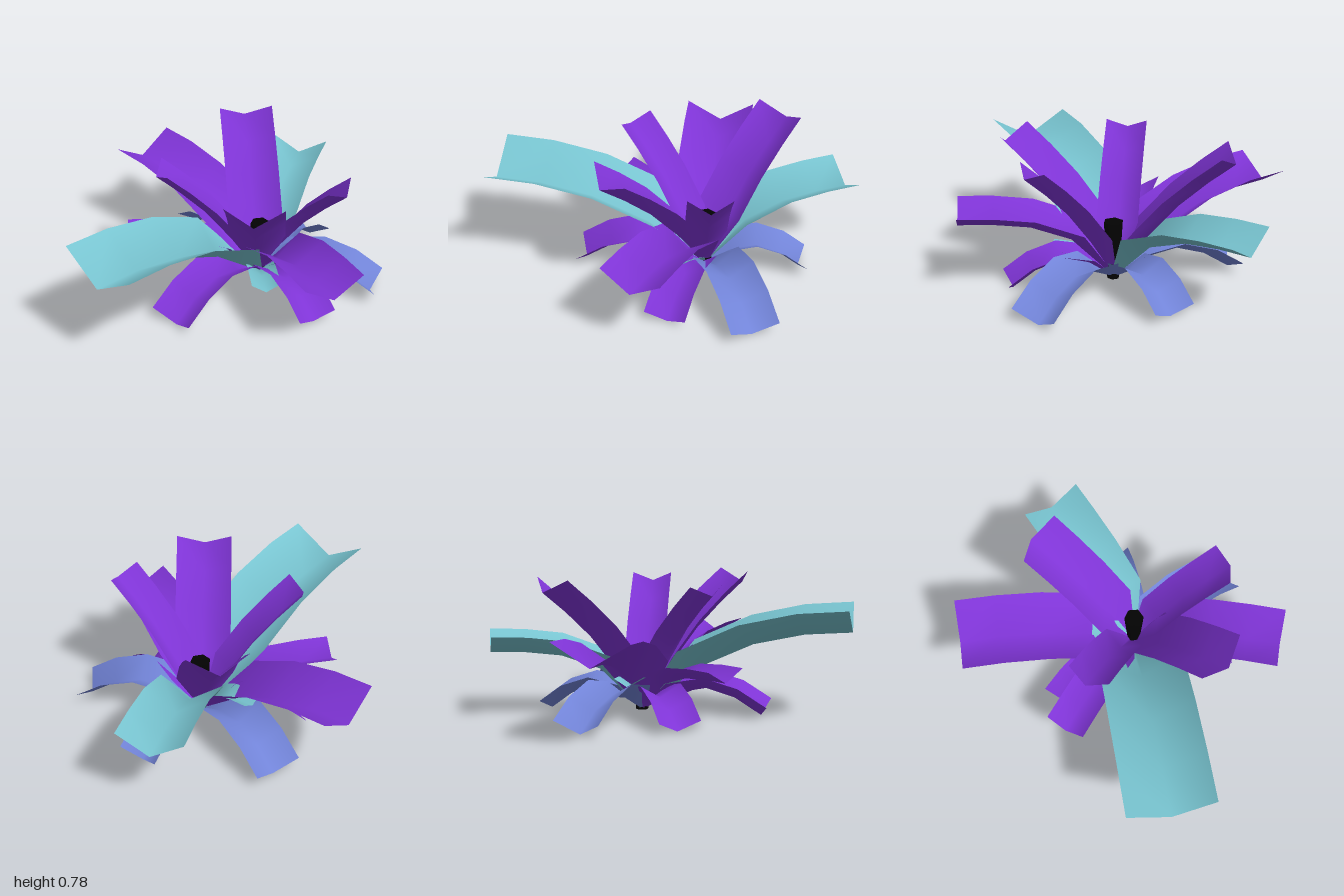
import * as THREE from 'three';

const BASE = { x: 0.125, z: -0.16 };

// Centre-rib paths: [fraction along the leaf, fraction of its height]
const TALL = [[0, 0.01], [0.28, 0.36], [0.54, 0.64], [0.78, 0.84], [1, 1]];
const BROAD = [[0, 0.01], [0.28, 0.54], [0.54, 0.83], [0.78, 0.96], [1, 1]];
const MIDDLE = [[0, 0.01], [0.28, 0.68], [0.54, 0.91], [0.78, 0.98], [1, 1]];
const LOW = [[0, 0.03], [0.28, 0.75], [0.54, 1], [0.78, 0.66], [1, 0]];

// A folded strip running from the base to its tip, V-shaped in section
function leafGeometry(path, tipX, tipZ, height, halfWidth) {
  const length = Math.hypot(tipX - BASE.x, tipZ - BASE.z);
  const dx = (tipX - BASE.x) / length, dz = (tipZ - BASE.z) / length;
  const rib = path.map(([s, h]) => [s * length, h * height]);
  const positions = [], index = [];
  rib.forEach(([s, y], i) => {
    const a = rib[Math.max(i - 1, 0)], b = rib[Math.min(i + 1, rib.length - 1)];
    const run = b[0] - a[0], climb = b[1] - a[1], t = Math.hypot(run, climb);
    const w = i === 0 ? halfWidth * 0.12 : halfWidth;
    for (const side of [-1, 0, 1]) {
      const lift = Math.abs(side) * w * 0.6;
      const along = s - lift * climb / t;
      positions.push(
        BASE.x + dx * along - dz * w * side,
        y + lift * run / t,
        BASE.z + dz * along + dx * w * side);
    }
    if (i === 0) return;
    for (const j of [0, 1]) {
      const p = (i - 1) * 3 + j, q = p + 3;
      index.push(p, p + 1, q, p + 1, q + 1, q);
    }
  });
  const geometry = new THREE.BufferGeometry();
  geometry.setAttribute('position', new THREE.Float32BufferAttribute(positions, 3));
  geometry.setIndex(index);
  geometry.computeVertexNormals();
  return geometry;
}

export function createModel() {
  const material = (name, color) =>
    new THREE.MeshStandardMaterial({ name, color, side: THREE.DoubleSide });
  const purple = material('purple', 0x7f34d6);
  const teal = material('teal', 0x78c4d0);
  const blue = material('blue', 0x7284d8);
  const black = material('black', 0x030303);

  const plant = new THREE.Group();
  plant.name = 'plant';

  // Rings of leaves: [material, tip x, tip z, rib height, half width]
  const rings = {
    tallLeaf: [TALL, [
      [purple, -0.15, -0.73, 0.705, 0.155],
      [purple, 0.295, 0.467, 0.705, 0.155],
      [purple, 0.652, 0.0, 0.69, 0.115],
      [purple, -0.365, 0.125, 0.69, 0.115],
    ]],
    broadLeaf: [BROAD, [
      [teal, -0.36, 0.9, 0.48, 0.235],
      [purple, -0.755, -0.56, 0.405, 0.2],
    ]],
    middleLeaf: [MIDDLE, [
      [teal, 0.125, -1.0, 0.36, 0.175],
      [purple, 0.713, 0.435, 0.35, 0.168],
      [purple, -0.537, 0.155, 0.265, 0.113],
    ]],
    lowLeaf: [LOW, [
      [blue, 0.785, -0.19, 0.14, 0.135],
      [blue, 0.305, -0.655, 0.13, 0.118],
      [blue, -0.385, -0.57, 0.14, 0.135],
      [purple, -0.42, -0.07, 0.13, 0.115],
      [purple, -0.135, 0.462, 0.14, 0.135],
      [purple, 0.555, 0.195, 0.13, 0.115],
    ]],
    innerLeaf: [MIDDLE, [
      [teal, -0.2, -0.3, 0.2, 0.07],
      [teal, 0.28, 0.17, 0.11, 0.08],
    ]],
  };
  for (const [name, [path, leaves]] of Object.entries(rings)) {
    leaves.forEach(([mat, ...shape], i) => {
      const leaf = new THREE.Mesh(leafGeometry(path, ...shape), mat);
      leaf.name = name + (i + 1);
      plant.add(leaf);
    });
  }

  // Dark stalk at the heart of the leaves
  const stalk = new THREE.Mesh(new THREE.CylinderGeometry(0.055, 0.035, 0.33, 6), black);
  stalk.name = 'stalk';
  stalk.position.set(BASE.x + 0.01, 0.17, BASE.z);
  plant.add(stalk);

  return plant;
}
